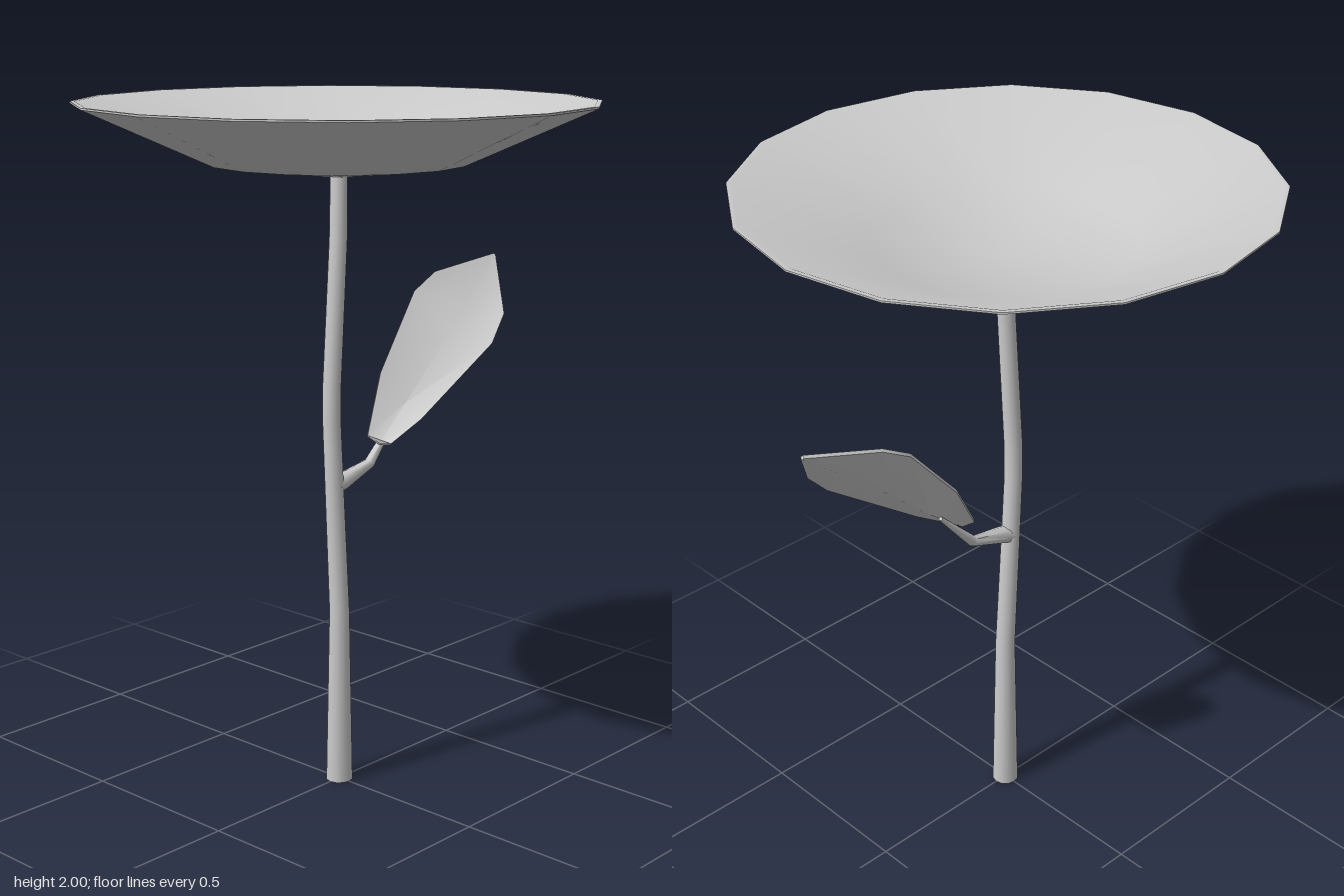
import * as THREE from 'three';
import { toCreasedNormals } from 'three/addons/utils/BufferGeometryUtils.js';

const material = new THREE.MeshStandardMaterial({ color: 0xcccccc, side: THREE.DoubleSide });

function part(name, geometry, crease) {
  const mesh = new THREE.Mesh(toCreasedNormals(geometry, crease), material);
  mesh.name = name;
  return mesh;
}

// Closed skin over rings of points, each counterclockwise around the direction of travel
function loft(rings) {
  const n = rings[0].length;
  const last = (rings.length - 1) * n;
  const index = [];
  for (let i = 0; i < rings.length - 1; i++) {
    for (let j = 0; j < n; j++) {
      const a = i * n + j, b = i * n + (j + 1) % n;
      index.push(a, b, b + n, a, b + n, a + n);
    }
  }
  for (let j = 1; j < n - 1; j++) {
    index.push(0, j + 1, j, last, last + j, last + j + 1);
  }
  const geometry = new THREE.BufferGeometry().setFromPoints(rings.flat());
  geometry.setIndex(index);
  return geometry;
}

// Tapering stalk in the xy plane through stations [x, y, radius]
function stalk(stations, sides) {
  const side = new THREE.Vector3(0, 0, 1);
  const centres = stations.map(([x, y]) => new THREE.Vector3(x, y, 0));
  return loft(stations.map(([, , r], i) => {
    const from = centres[Math.max(i - 1, 0)];
    const to = centres[Math.min(i + 1, centres.length - 1)];
    const across = to.clone().sub(from).normalize().cross(side);
    return Array.from({ length: sides }, (_, j) => {
      const t = j / sides * Math.PI * 2;
      return centres[i].clone()
        .addScaledVector(side, r * Math.cos(t))
        .addScaledVector(across, r * Math.sin(t));
    });
  }));
}

export function createModel() {
  const group = new THREE.Group();

  // Gently bent main stem
  group.add(part('stem', stalk([
    [0, 0, 0.04], [0, 0.53, 0.03], [-0.02, 0.88, 0.028], [-0.032, 1.1, 0.027],
    [-0.032, 1.2, 0.027], [-0.005, 1.62, 0.026], [-0.002, 1.8, 0.025],
  ], 12), 0.8));

  // Shallow sixteen-sided dish with a thin rim
  const profile = [
    [0, 1.79], [0.365, 1.832], [0.731, 1.995], [0.731, 2],
    [0.718, 2], [0.36, 1.843], [0, 1.802],
  ].map(([x, y]) => new THREE.Vector2(x, y));
  const dish = part('flowerDish', new THREE.LatheGeometry(profile, 16), 0.6);
  dish.position.set(-0.004, 0, -0.004);
  group.add(dish);

  // Short stalk carrying the leaf
  group.add(part('leafStalk', stalk([
    [-0.02, 0.911, 0.028], [0.01, 0.917, 0.026], [0.13, 0.95, 0.016], [0.25, 1.08, 0.006],
  ], 8), 0.8));

  // Leaf sections: upper edge, midrib, lower edge
  const sections = [
    [[0.132, 1.03, -0.01], [0.15, 1.008, 0.022], [0.164, 1.01, 0.053]],
    [[0.238, 1.195, -0.055], [0.275, 1.108, 0.012], [0.27, 1.07, 0.078]],
    [[0.434, 1.41, -0.095], [0.49, 1.3, 0.008], [0.55, 1.262, 0.116]],
    [[0.524, 1.46, -0.09], [0.58, 1.375, 0], [0.625, 1.34, 0.1]],
    [[0.73, 1.5, -0.028], [0.733, 1.498, -0.026], [0.735, 1.496, -0.024]],
  ];
  const thickness = new THREE.Vector3(0.48, -0.56, -0.68).multiplyScalar(0.01);
  const leaf = loft(sections.map((row) => {
    const top = row.map((p) => new THREE.Vector3(...p));
    const bottom = top.map((p) => p.clone().add(thickness)).reverse();
    return [...top, ...bottom];
  }));
  group.add(part('leaf', leaf, 0.5));

  return group;
}
